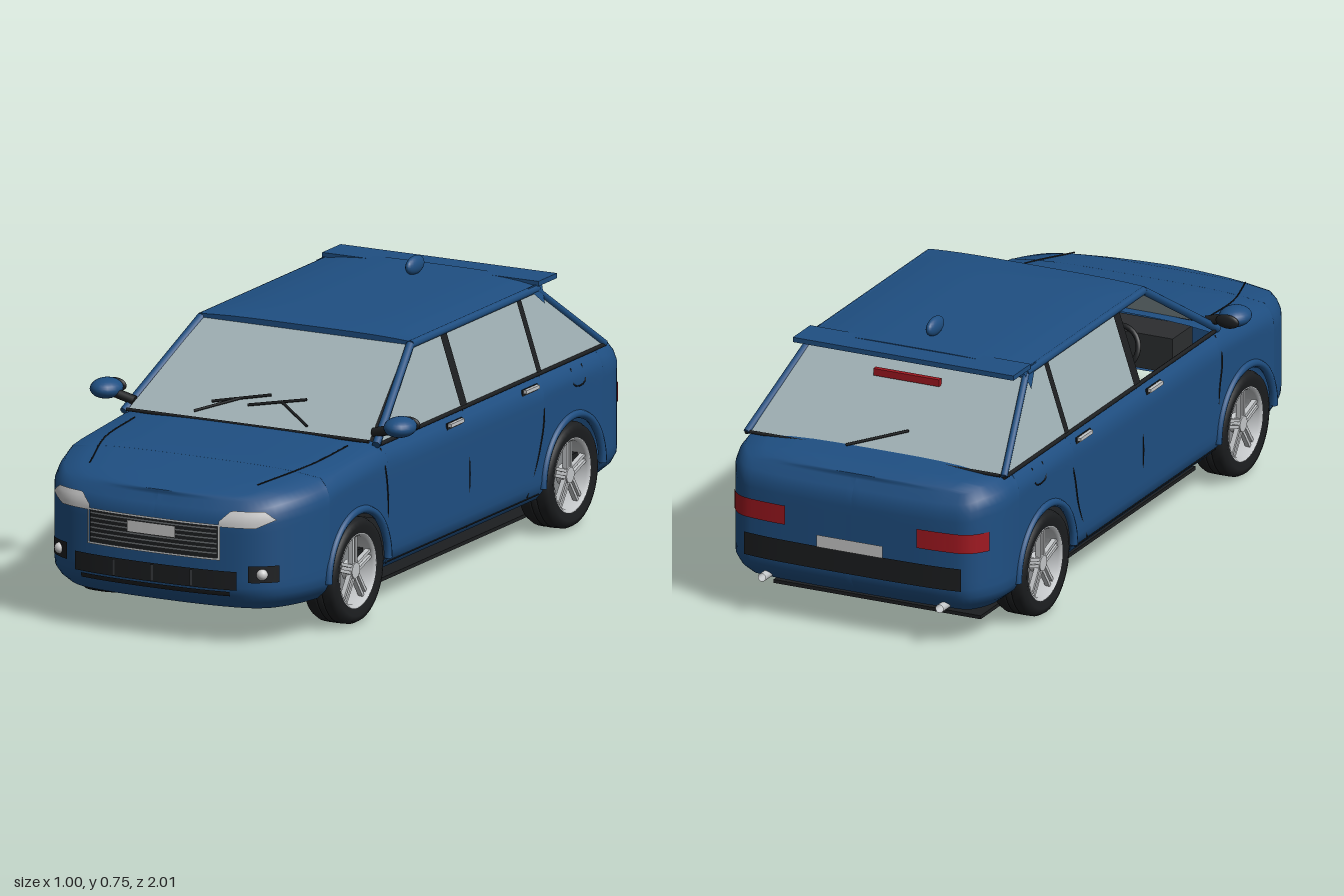
import * as THREE from 'three';

const BLUE = 0x1f4f82, DARK = 0x1c1e20, GLASS = 0x9fb0b4, SILVER = 0xc4c7c9, WHITE = 0xe8e8e8, RED = 0xa01820;
const ARCH_R = 0.165, AXLE_Y = 0.148, AXLES = [0.585, -0.625], W = 0.412;
const lerp = THREE.MathUtils.lerp;
const V = (x, y, z) => new THREE.Vector3(x, y, z);

// Piecewise-linear shoulder height along the car
const TOP = [[-1, 0.43], [-0.93, 0.455], [-0.8, 0.465], [0.45, 0.465], [0.7, 0.447], [0.9, 0.42], [1, 0.395]];
function topY(z) {
  for (let i = 1; i < TOP.length; i++) {
    const [a, b] = [TOP[i - 1], TOP[i]];
    if (z <= b[0]) return lerp(a[1], b[1], (z - a[0]) / (b[0] - a[0]));
  }
  return 0.395;
}
const deckY = (z, k) => topY(z) + 0.015 * (1 - k ** 4);
// How far the skin tucks in near the shoulder and the bottom edge
function inset(y, top) {
  const b = Math.max(0, 0.16 - y) / 0.06, t = Math.max(0, 1 - (top - y) / 0.06);
  return 0.045 * b * b + 0.028 * t * t;
}

// Half plan outline from nose centre to tail centre, with the lower edge at each station
const stations = [];
function corner(pts) {
  const c = new THREE.CatmullRomCurve3(pts.map(p => V(p[0], 0, p[1])));
  c.getSpacedPoints(26).forEach(p => stations.push({ x: p.x, z: p.z, bot: 0.1 }));
}
function arch(zc) {
  for (let i = 0; i <= 24; i++) {
    const a = Math.PI * i / 24;
    stations.push({ x: W, z: zc + ARCH_R * Math.cos(a), bot: AXLE_Y + ARCH_R * Math.sin(a) });
  }
}
corner([[0, 0.995], [0.1, 0.993], [0.2, 0.984], [0.28, 0.965], [0.335, 0.93], [0.37, 0.88], [0.395, 0.82], [W, 0.751]]);
arch(AXLES[0]);
for (let i = 0; i <= 8; i++) stations.push({ x: W, z: lerp(0.42, -0.46, i / 8), bot: 0.115 });
arch(AXLES[1]);
corner([[W, -0.79], [0.407, -0.86], [0.385, -0.92], [0.345, -0.965], [0.28, -0.978], [0.15, -0.984], [0, -0.985]]);
stations.forEach((s, i) => {
  const a = stations[Math.max(0, i - 1)], b = stations[Math.min(stations.length - 1, i + 1)];
  const dx = b.x - a.x, dz = b.z - a.z, l = Math.hypot(dx, dz) || 1;
  s.nx = -dz / l; s.nz = dx / l;
});
stations[0].nx = stations.at(-1).nx = 0;

// Point of the skin at a station and height
function skin(s, y) {
  const d = inset(y, topY(s.z));
  return V(Math.max(0, s.x - d * s.nx), y, s.z - d * s.nz);
}
// z of the front (end = 1) or rear (end = -1) skin at x, y
function endZ(x, y, end) {
  const list = end > 0 ? stations.slice(0, 27) : stations.slice(-27).reverse();
  for (let i = 1; i < list.length; i++) {
    const a = skin(list[i - 1], y), b = skin(list[i], y);
    if (Math.abs(x) <= b.x) return lerp(a.z, b.z, (Math.abs(x) - a.x) / (b.x - a.x || 1));
  }
  return list.at(-1).z;
}

function grid(nu, nv, fn, keep = () => true) {
  const pos = [], idx = [];
  for (let i = 0; i <= nu; i++) for (let j = 0; j <= nv; j++) pos.push(...fn(i, j).toArray());
  for (let i = 0; i < nu; i++) for (let j = 0; j < nv; j++) {
    if (!keep(i, j)) continue;
    const a = i * (nv + 1) + j, b = a + nv + 1;
    idx.push(a, b, a + 1, a + 1, b, b + 1);
  }
  const g = new THREE.BufferGeometry();
  g.setAttribute('position', new THREE.Float32BufferAttribute(pos, 3));
  g.setIndex(idx);
  g.computeVertexNormals();
  return g;
}

export function createModel() {
  const car = new THREE.Group();
  car.name = 'car';
  function add(name, geo, color, pos = [0, 0, 0], parent = car) {
    const m = new THREE.Mesh(geo, new THREE.MeshStandardMaterial({ color, side: THREE.DoubleSide }));
    m.name = name;
    m.position.set(...pos);
    parent.add(m);
    return m;
  }
  const box = (name, w, h, d, color, pos, parent) => add(name, new THREE.BoxGeometry(w, h, d), color, pos, parent);
  function bar(name, a, b, r, color) {
    const m = add(name, new THREE.CylinderGeometry(r, r, a.distanceTo(b), 8), color);
    m.position.copy(a).lerp(b, 0.5);
    m.quaternion.setFromUnitVectors(V(0, 1, 0), b.clone().sub(a).normalize());
  }
  function seam(name, pts, color = DARK, r = 0.002) {
    add(name, new THREE.TubeGeometry(new THREE.CatmullRomCurve3(pts, false, 'centripetal'), 24, r, 5), color);
  }
  // Convex flat panel
  function panel(name, pts, color) {
    const g = new THREE.BufferGeometry().setFromPoints(pts), idx = [];
    for (let i = 1; i < pts.length - 1; i++) idx.push(0, i, i + 1);
    g.setIndex(idx);
    g.computeVertexNormals();
    add(name, g, color);
  }
  // Patch following the nose or tail skin between two height curves
  function patch(name, end, x0, x1, lo, hi, off, color) {
    const f = v => (typeof v === 'function' ? v : () => v);
    add(name, grid(16, 4, (i, j) => {
      const x = lerp(x0, x1, i / 16), y = lerp(f(lo)(Math.abs(x)), f(hi)(Math.abs(x)), j / 4);
      return V(x, y, endZ(x, y, end) + end * off);
    }), color);
  }

  // Body shell with bonnet and rear deck, open under the cabin
  const R = 14, D = 12, N = 2 * R + D;
  add('body', grid(stations.length - 1, N, (i, j) => {
    const s = stations[i];
    if (j > R && j < R + D) {
      const k = 1 - 2 * (j - R) / D, e = skin(s, topY(s.z));
      return V(e.x * k, deckY(s.z, k), e.z);
    }
    const row = j <= R ? j : N - j, p = skin(s, lerp(s.bot, topY(s.z), row / R));
    if (j > R) p.x *= -1;
    return p;
  }, (i, j) => j < R || j >= R + D || stations[i + 1].z >= 0.419 || stations[i].z <= -0.789), BLUE);

  // Roof, spoiler and aerial
  const roof = new THREE.BoxGeometry(0.645, 0.018, 0.74, 14, 1, 14), rp = roof.attributes.position;
  for (let i = 0; i < rp.count; i++) {
    const kx = rp.getX(i) / 0.3225, kz = rp.getZ(i) / 0.37;
    rp.setY(i, rp.getY(i) + 0.015 * (1 - kx ** 4) * (1 - 0.6 * Math.max(0, kz) ** 6));
  }
  roof.computeVertexNormals();
  add('roof', roof, BLUE, [0, 0.673, -0.23]);
  box('spoiler', 0.67, 0.014, 0.105, BLUE, [0, 0.688, -0.62]);
  add('aerial', new THREE.SphereGeometry(1, 20, 14).scale(0.016, 0.026, 0.046), BLUE, [0, 0.72, -0.48]);

  // Windscreen, rear window and wipers
  const frontGlass = (x, y) => V(x, y, 0.46 - (y - 0.48) * 1.64 + 0.012);
  const rearGlass = (x, y) => V(x, y, -0.84 + (y - 0.47) * 1.3 - 0.012);
  panel('windscreen', [V(-0.375, 0.475, 0.46), V(0.375, 0.475, 0.46), V(0.315, 0.675, 0.135), V(-0.315, 0.675, 0.135)], GLASS);
  panel('rearWindow', [V(-0.38, 0.468, -0.84), V(0.38, 0.468, -0.84), V(0.32, 0.668, -0.58), V(-0.32, 0.668, -0.58)], GLASS);
  for (const [a, b, c, d] of [[-0.14, 0.518, 0.02, 0.545], [-0.175, 0.495, -0.06, 0.532], [-0.03, 0.52, 0.13, 0.545], [0.175, 0.495, 0.06, 0.535]])
    bar('wiper', frontGlass(a, b), frontGlass(c, d), 0.004, DARK);
  bar('rearWiper', rearGlass(-0.07, 0.527), rearGlass(0.09, 0.48), 0.004, DARK);
  bar('cowlSeal', V(-0.375, 0.478, 0.462), V(0.375, 0.478, 0.462), 0.005, DARK);
  bar('rearSeal', V(-0.38, 0.47, -0.842), V(0.38, 0.47, -0.842), 0.005, DARK);
  box('highBrakeLight', 0.2, 0.02, 0.015, RED, rearGlass(0, 0.628).toArray());

  // Parts repeated on both sides
  const cabinX = y => 0.392 - (y - 0.465) * 0.33;
  for (const s of [1, -1]) {
    const side = (z, y, o = 0) => V(s * (cabinX(y) + o), y, z);
    const flank = (z, y) => V(s * (W - inset(y, 0.465) + 0.0005), y, z);
    // Side windows; the driver's window is wound down
    if (s > 0) panel('frontSideWindow', [side(0.42, 0.468), side(0.13, 0.668), side(-0.03, 0.668), side(-0.03, 0.468)], GLASS);
    panel('rearSideWindow', [side(-0.05, 0.468), side(-0.05, 0.668), side(-0.46, 0.668), side(-0.46, 0.468)], GLASS);
    panel('quarterWindow', [side(-0.47, 0.468), side(-0.47, 0.668), side(-0.57, 0.668), side(-0.83, 0.468)], GLASS);
    // Pillars and rails
    bar('frontPillar', side(0.45, 0.468), side(0.135, 0.672), 0.012, BLUE);
    bar('rearPillar', side(-0.84, 0.468), side(-0.575, 0.668), 0.01, BLUE);
    bar('roofRail', side(0.135, 0.672), side(-0.58, 0.672), 0.012, BLUE);
    bar('waistSeal', side(0.43, 0.466), side(-0.84, 0.466), 0.006, DARK);
    for (const [z, w] of [[-0.04, 0.018], [-0.465, 0.012]])
      panel('doorPillar', [side(z - w, 0.465, 0.004), side(z + w, 0.465, 0.004), side(z + w, 0.668, 0.004), side(z - w, 0.668, 0.004)], DARK);
    panel('spoilerBracket', [side(-0.52, 0.685, 0.008), side(-0.6, 0.685, 0.008), side(-0.585, 0.63, 0.008)], BLUE);
    // Panel gaps, handles and filler flap
    seam('doorGap', [flank(0.43, 0.455), flank(0.435, 0.4), flank(0.42, 0.3), flank(0.415, 0.13)]);
    seam('doorGap', [flank(-0.04, 0.46), flank(-0.04, 0.3), flank(-0.04, 0.13)]);
    seam('doorGap', [flank(-0.47, 0.46), flank(-0.46, 0.36), flank(-0.43, 0.25), flank(-0.37, 0.14)]);
    seam('sillGap', [flank(0.41, 0.135), flank(0, 0.135), flank(-0.44, 0.135)]);
    seam('fillerFlap', [flank(-0.63, 0.445), flank(-0.63, 0.4), flank(-0.69, 0.4), flank(-0.69, 0.445)]);
    seam('bonnetGap', [[0.33, 0.5], [0.32, 0.68], [0.26, 0.88]].map(([x, z]) => V(s * x, deckY(z, x / 0.39) + 0.001, z)));
    for (const z of [0.035, -0.39]) {
      box('handleRecess', 0.004, 0.018, 0.085, DARK, [s * 0.405, 0.438, z]);
      box('doorHandle', 0.014, 0.01, 0.075, SILVER, [s * 0.41, 0.441, z]);
    }
    // Door mirror
    add('mirror', new THREE.SphereGeometry(1, 20, 14).scale(0.044, 0.028, 0.052), BLUE, [s * 0.455, 0.522, 0.43]);
    add('mirrorGlass', new THREE.SphereGeometry(1, 16, 10).scale(0.036, 0.02, 0.01), DARK, [s * 0.455, 0.521, 0.382]);
    bar('mirrorArm', V(s * 0.37, 0.495, 0.425), V(s * 0.43, 0.512, 0.43), 0.014, DARK);
    // Lights
    patch('headlight', 1, s * 0.2, s * 0.345, x => (x < 0.3 ? 0.335 : 0.335 + (x - 0.3) * 0.5),
      x => (x < 0.23 ? 0.35 + (x - 0.2) : x < 0.32 ? 0.38 : 0.38 - (x - 0.32) * 0.9), 0.007, WHITE);
    patch('fogLightHousing', 1, s * 0.28, s * 0.35, 0.183, 0.23, 0.007, DARK);
    add('fogLight', new THREE.SphereGeometry(0.016, 16, 12), WHITE, [s * 0.313, 0.206, endZ(0.313, 0.206, 1) + 0.004]);
    patch('tailLight', -1, s * 0.2, s * 0.388, 0.28, 0.335, 0.007, RED);
    add('exhaust', new THREE.CylinderGeometry(0.012, 0.012, 0.1, 14, 1, true).rotateX(Math.PI / 2), SILVER, [s * 0.27, 0.115, -0.94]);

    // Wheels and arch lips
    for (const z of AXLES) {
      const flare = new THREE.TorusGeometry(ARCH_R + 0.004, 0.012, 8, 32, Math.PI).rotateY(Math.PI / 2);
      add('archLip', flare, BLUE, [s * 0.41, AXLE_Y, z]);
      const wheel = new THREE.Group();
      wheel.name = 'wheel';
      wheel.position.set(s * 0.363, AXLE_Y, z);
      wheel.rotation.y = s > 0 ? 0 : Math.PI;
      car.add(wheel);
      const lathe = pts => new THREE.LatheGeometry(pts.map(p => new THREE.Vector2(...p)), 40).rotateZ(-Math.PI / 2);
      add('tyre', lathe([[0.1, -0.045], [0.125, -0.052], [0.14, -0.048], [0.147, -0.035], [0.148, -0.013], [0.142, -0.012], [0.142, -0.008],
        [0.148, -0.007], [0.148, 0.007], [0.142, 0.008], [0.142, 0.012], [0.148, 0.013], [0.147, 0.035], [0.14, 0.048], [0.125, 0.052], [0.1, 0.045]]), DARK, [0, 0, 0], wheel);
      add('rim', lathe([[0.1, -0.045], [0.094, -0.04], [0.09, 0], [0.094, 0.038], [0.101, 0.047], [0.104, 0.046]]), SILVER, [0, 0, 0], wheel);
      add('brakeDisc', new THREE.CylinderGeometry(0.066, 0.066, 0.01, 28).rotateZ(Math.PI / 2), 0x8a8d90, [-0.005, 0, 0], wheel);
      box('caliper', 0.03, 0.05, 0.03, DARK, [0.005, 0.02, -s * 0.06], wheel);
      add('hub', new THREE.CylinderGeometry(0.022, 0.028, 0.03, 20).rotateZ(-Math.PI / 2), SILVER, [0.025, 0, 0], wheel);
      for (let i = 0; i < 5; i++) for (const o of [-0.009, 0.009]) {
        const spoke = new THREE.BoxGeometry(0.014, 0.08, 0.009).translate(0, 0.056, o).rotateX(i * Math.PI * 0.4);
        add('spoke', spoke, SILVER, [0.03, 0, 0], wheel);
      }
    }

    // Front seat
    box('seatCushion', 0.2, 0.08, 0.24, 0x2c2e30, [s * 0.16, 0.23, 0.08]);
    box('seatBack', 0.2, 0.28, 0.06, 0x2c2e30, [s * 0.16, 0.38, -0.06]).rotation.x = -0.2;
    box('headrest', 0.1, 0.07, 0.04, 0x2c2e30, [s * 0.16, 0.56, -0.1]);
  }

  // Grille, number plates and lower intake
  patch('grille', 1, -0.2, 0.2, 0.245, 0.34, 0.005, DARK);
  for (let i = 1; i < 7; i++) patch('grilleSlat', 1, -0.195, 0.195, 0.245 + i * 0.0136, 0.249 + i * 0.0136, 0.008, 0x6c7073);
  for (const y of [0.242, 0.336]) patch('grilleTrim', 1, -0.205, 0.205, y, y + 0.006, 0.01, SILVER);
  for (const x of [-0.205, 0.199]) patch('grilleTrim', 1, x, x + 0.006, 0.242, 0.342, 0.01, SILVER);
  patch('frontPlate', 1, -0.075, 0.075, 0.293, 0.326, 0.014, WHITE);
  patch('lowerIntake', 1, -0.25, 0.25, 0.16, 0.212, 0.006, DARK);
  for (const x of [-0.12, 0, 0.12]) patch('intakeRib', 1, x - 0.004, x + 0.004, 0.163, 0.209, 0.01, 0x3a3d40);
  patch('lowerSlot', 1, -0.23, 0.23, 0.142, 0.155, 0.006, DARK);
  patch('rearBumperStrip', -1, -0.33, 0.33, 0.17, 0.235, 0.007, DARK);
  patch('rearPlate', -1, -0.1, 0.1, 0.235, 0.27, 0.012, WHITE);

  // Undertray and interior
  box('undertray', 0.63, 0.01, 1.3, DARK, [0, 0.044, -0.18]);
  box('dashboard', 0.62, 0.1, 0.12, 0x2c2e30, [0, 0.41, 0.4]);
  box('rearBench', 0.56, 0.09, 0.2, 0x2c2e30, [0, 0.24, -0.34]);
  box('rearBenchBack', 0.56, 0.27, 0.06, 0x2c2e30, [0, 0.38, -0.46]).rotation.x = -0.2;
  const steering = add('steeringWheel', new THREE.TorusGeometry(0.06, 0.008, 8, 28), DARK, [-0.17, 0.43, 0.29]);
  steering.rotation.x = 0.4;
  bar('steeringColumn', V(-0.17, 0.43, 0.29), V(-0.17, 0.4, 0.36), 0.012, DARK);
  return car;
}
